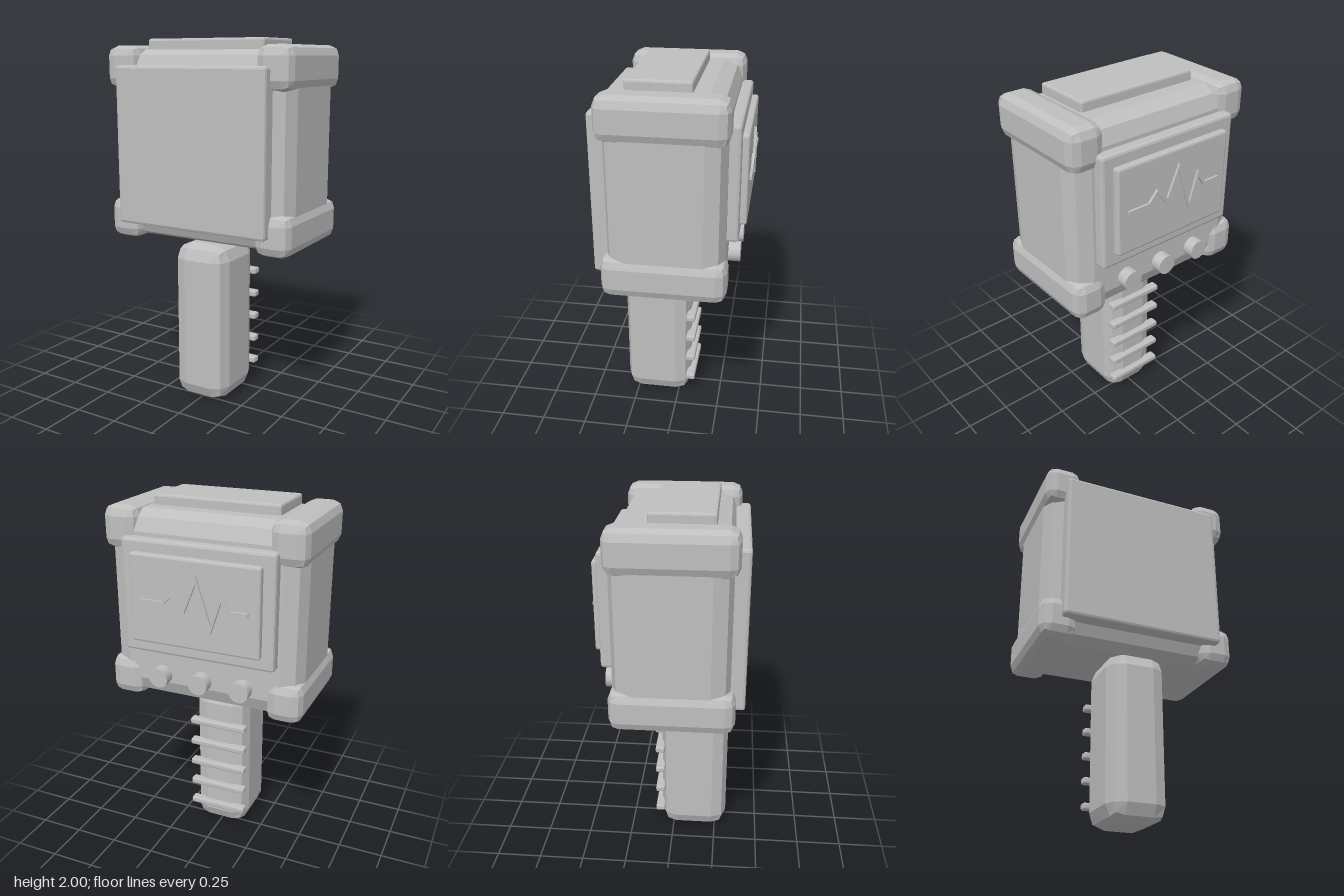
import * as THREE from 'three';
import { RoundedBoxGeometry } from 'three/addons/geometries/RoundedBoxGeometry.js';

export function createModel() {
  const model = new THREE.Group();
  model.name = 'handheldScanner';
  const grey = new THREE.MeshStandardMaterial({ color: 0xbfbfbf });
  grey.name = 'plainGrey';

  const add = (name, geometry) => {
    const mesh = new THREE.Mesh(geometry, grey);
    mesh.name = name;
    model.add(mesh);
    return mesh;
  };

  // Box given by its limits, with faceted two-step bevels
  const bevelBox = (name, [x0, x1], [y0, y1], [z0, z1], radius) => {
    let g = new RoundedBoxGeometry(x1 - x0, y1 - y0, z1 - z0, 1, radius);
    if (g.index) g = g.toNonIndexed();
    g.computeVertexNormals();
    g.translate((x0 + x1) / 2, (y0 + y1) / 2, (z0 + z1) / 2);
    return add(name, g);
  };

  // Housing and its plates
  bevelBox('housing', [-0.545, 0.545], [0.91, 1.945], [-0.293, 0.325], 0.105);
  bevelBox('frontPlate', [-0.455, 0.455], [1.0, 1.86], [0.28, 0.397], 0.015);
  bevelBox('topPlate', [-0.355, 0.355], [1.9, 2.0], [-0.108, 0.228], 0.012);
  bevelBox('screenBezel', [-0.425, 0.425], [1.205, 1.82], [-0.352, -0.25], 0.015);
  bevelBox('screen', [-0.36, 0.36], [1.275, 1.755], [-0.387, -0.31], 0.012);

  // Four corner bumpers
  for (const side of [-1, 1]) {
    const xs = side > 0 ? [0.36, 0.56] : [-0.56, -0.36];
    bevelBox('upperBumper', xs, [1.735, 1.965], [-0.308, 0.348], 0.055);
    bevelBox('lowerBumper', xs, [0.9, 1.125], [-0.308, 0.348], 0.055);
  }

  // Handle with finger ribs on the back
  bevelBox('handle', [-0.162, 0.162], [0, 0.9], [-0.07, 0.315], 0.085);
  for (let i = 0; i < 5; i++) {
    const y = 0.137 + i * 0.138;
    bevelBox('gripRib', [-0.17, 0.17], [y - 0.018, y + 0.018], [-0.103, -0.05], 0.009);
  }

  // Control knobs under the screen
  for (const x of [-0.235, 0, 0.235]) {
    const knob = add('knob', new THREE.CylinderGeometry(0.055, 0.055, 0.12, 32));
    knob.rotation.x = Math.PI / 2;
    knob.position.set(x, 1.06, -0.296);
  }

  // Pulse trace: a mitred ribbon raised from the screen
  const path = [
    [-0.3, 1.51], [-0.2, 1.51], [-0.155, 1.58], [-0.1, 1.405], [-0.02, 1.655],
    [0.05, 1.49], [0.12, 1.565], [0.17, 1.51], [0.3, 1.51],
  ].map(([x, y]) => new THREE.Vector2(x, y));
  const half = 0.009;
  const normalOf = (a, b) => {
    const d = b.clone().sub(a).normalize();
    return new THREE.Vector2(-d.y, d.x);
  };
  const offset = (sign) => path.map((p, i) => {
    const before = normalOf(path[Math.max(i - 1, 0)], path[Math.max(i, 1)]);
    const after = normalOf(path[Math.min(i, path.length - 2)], path[Math.min(i + 1, path.length - 1)]);
    const miter = before.clone().add(after).normalize();
    const length = Math.min(half / miter.dot(before), half * 2.2);
    return p.clone().addScaledVector(miter, sign * length);
  });
  const ribbon = new THREE.Shape([...offset(-1), ...offset(1).reverse()]);
  const trace = add('pulseTrace', new THREE.ExtrudeGeometry(ribbon, { depth: 0.02, bevelEnabled: false }));
  trace.position.z = -0.4;

  return model;
}
